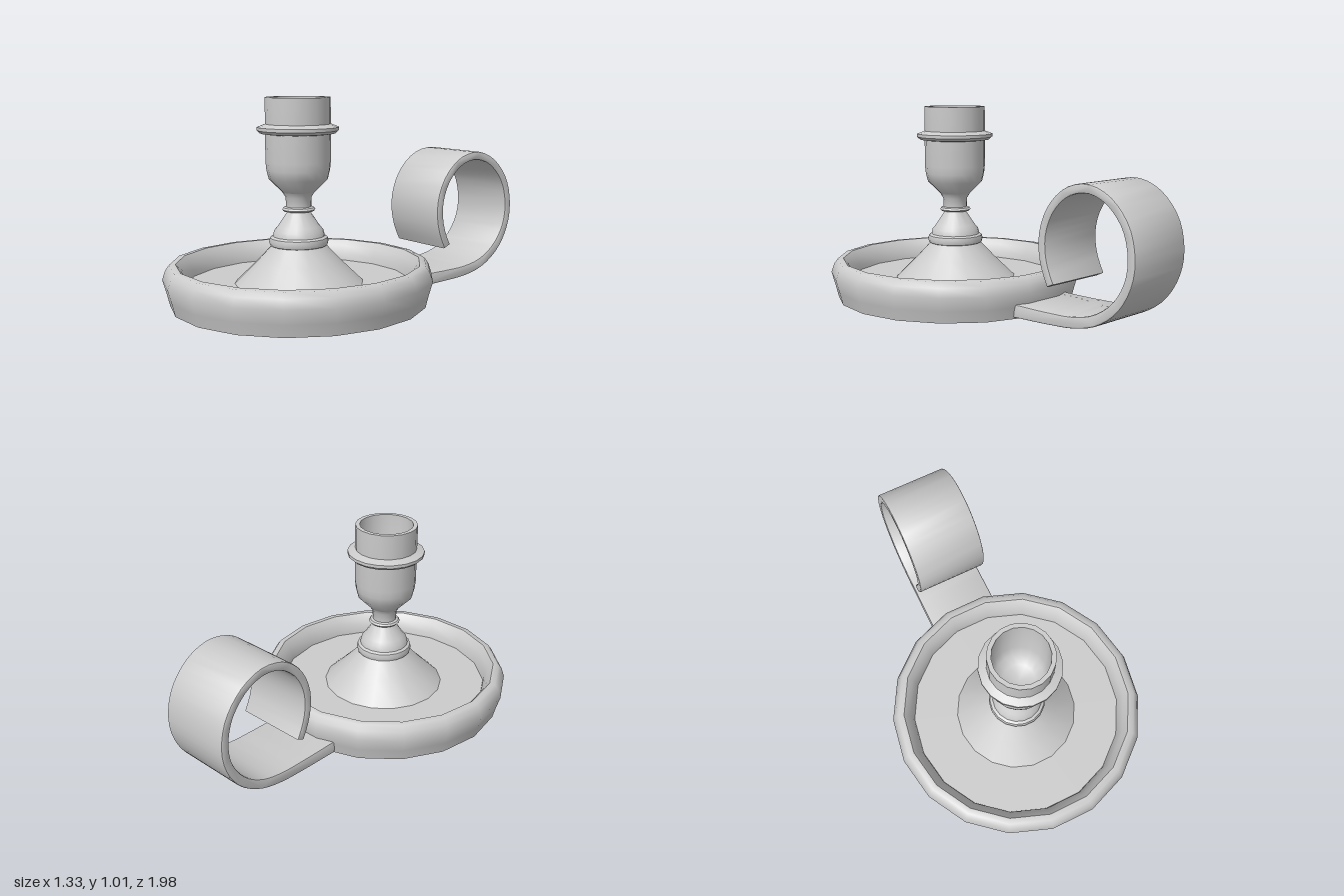
import * as THREE from 'three';
import { toCreasedNormals } from 'three/addons/utils/BufferGeometryUtils.js';

const SIDES = 18;
const CENTRE_Z = 0.33;
const material = new THREE.MeshStandardMaterial({ color: 0xcccccc, side: THREE.DoubleSide });

function addMesh(group, name, geometry, crease = 0.65) {
  const mesh = new THREE.Mesh(toCreasedNormals(geometry, crease), material);
  mesh.name = name;
  group.add(mesh);
  return mesh;
}

// Turned part: profile of [radius, height], with a facet facing the front
function turned(group, name, profile, crease) {
  const points = profile.map(([r, y]) => new THREE.Vector2(r, y));
  const mesh = addMesh(group, name, new THREE.LatheGeometry(points, SIDES, Math.PI / SIDES), crease);
  mesh.position.z = CENTRE_Z;
  return mesh;
}

export function createModel() {
  const model = new THREE.Group();
  model.name = 'chamberstick';

  // Thin dish: hollow underneath, floor raised inside a rolled rim
  const rim = turned(model, 'dishRim', [
    [0.635, 0], [0.65, 0.06], [0.67, 0.13], [0.655, 0.175], [0.635, 0.203],
    [0.605, 0.205], [0.58, 0.175], [0.56, 0.13], [0.555, 0.1],
  ], 0.9);
  const floor = turned(model, 'dishFloor', [[0.555, 0.1], [0, 0.1]]);
  rim.scale.x = floor.scale.x = 0.99;

  // Flared foot, collar and neck
  turned(model, 'stem', [
    [0.318, 0.1], [0.21, 0.205], [0.135, 0.285],
    [0.142, 0.288], [0.147, 0.305], [0.142, 0.325],
    [0.128, 0.333], [0.122, 0.36], [0.105, 0.38], [0.055, 0.455],
    [0.075, 0.456], [0.082, 0.464], [0.075, 0.474], [0.062, 0.478],
    [0.064, 0.525], [0.08, 0.55],
  ]);

  // Candle cup with a hollow socket
  turned(model, 'candleCup', [
    [0.08, 0.55], [0.145, 0.615], [0.156, 0.66], [0.16, 0.7], [0.16, 1.012],
    [0.138, 1.012], [0.138, 0.74], [0.12, 0.68], [0.08, 0.645], [0, 0.63],
  ]);

  // Drip flange around the cup
  turned(model, 'cupFlange', [
    [0.158, 0.834], [0.185, 0.838], [0.2, 0.852], [0.2, 0.868], [0.158, 0.884],
  ], 0.5);

  // Curled strap handle: offset a centre line both ways, then extrude across
  const path = new THREE.CatmullRomCurve3([
    [0.28, 0.042], [0.5, 0.045], [0.65, 0.054], [0.77, 0.085], [0.88, 0.16],
    [0.95, 0.27], [0.97, 0.385], [0.94, 0.52], [0.86, 0.62], [0.78, 0.665],
    [0.7, 0.677], [0.6, 0.65], [0.51, 0.57], [0.46, 0.46], [0.455, 0.36],
    [0.475, 0.275], [0.505, 0.21],
  ].map(([x, y]) => new THREE.Vector3(x, y, 0)));
  const steps = 48, bevel = 0.008;
  const outer = [], inner = [];
  for (let i = 0; i <= steps; i++) {
    const t = i / steps;
    const p = path.getPointAt(t), d = path.getTangentAt(t);
    const half = THREE.MathUtils.lerp(0.033, 0.022, Math.min(1, t * 2.5)) - bevel;
    outer.push(new THREE.Vector2(p.x + d.y * half, p.y - d.x * half));
    inner.push(new THREE.Vector2(p.x - d.y * half, p.y + d.x * half));
  }
  const strap = new THREE.ExtrudeGeometry(new THREE.Shape([...outer, ...inner.reverse()]), {
    depth: 0.38 - 2 * bevel, bevelEnabled: true, bevelSize: bevel, bevelThickness: bevel, bevelSegments: 2,
  });
  strap.rotateY(Math.PI / 2);
  strap.translate(-0.2 + bevel, 0, 0);
  addMesh(model, 'handle', strap);

  return model;
}
